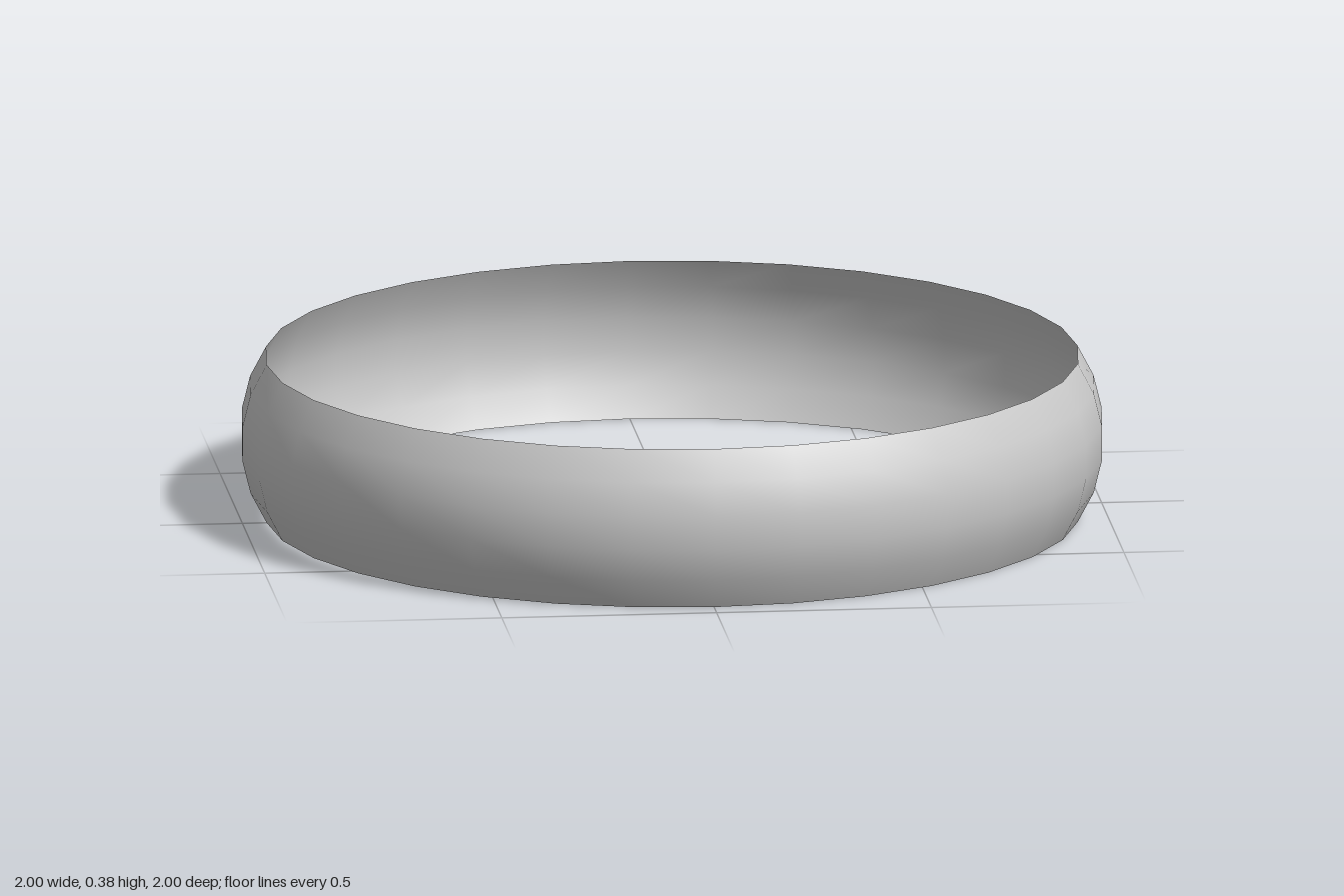
import * as THREE from 'three';

export function createModel() {
  const group = new THREE.Group();
  group.name = 'ring';

  // Bulging band: a shallow arc of five segments, revolved around y
  const half = 0.188, arcRadius = 0.33, steps = 5;
  const spread = Math.asin(half / arcRadius);
  const inset = arcRadius * Math.cos(spread / steps);
  const profile = [];
  for (let i = 0; i <= steps; i++) {
    const a = spread * (2 * i / steps - 1);
    profile.push(new THREE.Vector2(1 - inset + arcRadius * Math.cos(a), half + arcRadius * Math.sin(a)));
  }

  const band = new THREE.Mesh(
    new THREE.LatheGeometry(profile, 32),
    new THREE.MeshStandardMaterial({ color: 0xcccccc, side: THREE.DoubleSide })
  );
  band.name = 'band';
  group.add(band);
  return group;
}
